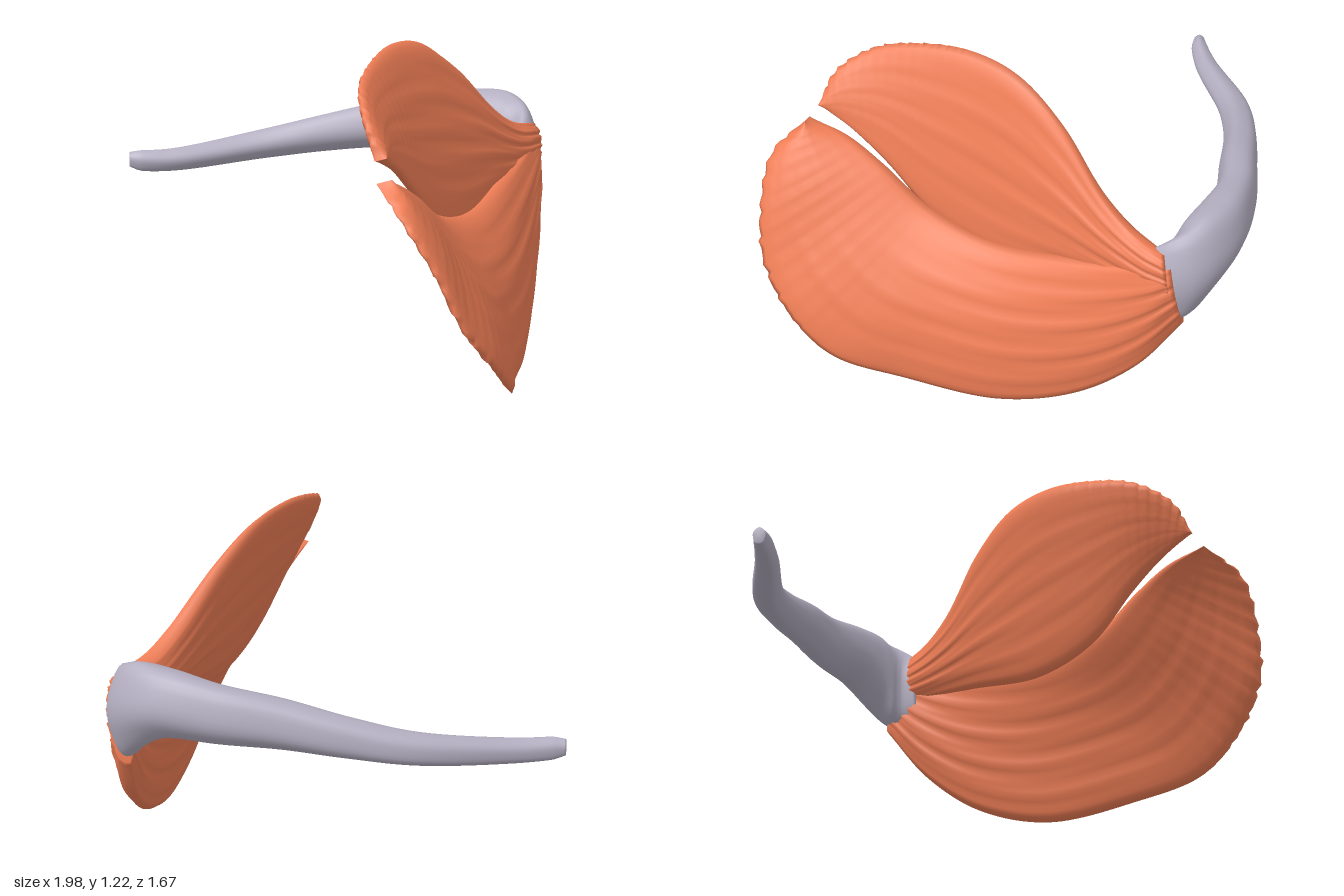
import * as THREE from 'three';

const V = (x, y, z) => new THREE.Vector3(x, y, z);
const curve = pts => new THREE.CatmullRomCurve3(pts.map(p => V(...p)), false, 'centripetal');

// Smooth closed skin over rings of equal point count, capped at both ends
function skin(rings) {
  const n = rings[0].length, pos = [], idx = [];
  rings.forEach(r => r.forEach(p => pos.push(p.x, p.y, p.z)));
  for (let i = 0; i < rings.length - 1; i++) {
    for (let j = 0; j < n; j++) {
      const a = i * n + j, b = i * n + (j + 1) % n, c = a + n, d = b + n;
      idx.push(a, b, c, b, d, c);
    }
  }
  for (const i of [0, rings.length - 1]) {
    const m = rings[i].reduce((s, p) => s.add(p), V(0, 0, 0)).divideScalar(n);
    const id = pos.length / 3;
    pos.push(m.x, m.y, m.z);
    for (let j = 0; j < n; j++) {
      const a = i * n + j, b = i * n + (j + 1) % n;
      if (i) idx.push(id, a, b); else idx.push(id, b, a);
    }
  }
  const g = new THREE.BufferGeometry();
  g.setAttribute('position', new THREE.Float32BufferAttribute(pos, 3));
  g.setIndex(idx);
  g.computeVertexNormals();
  return g;
}

// Fleshy lobe spanning a lower and an upper edge curve; bulge pushes its middle outward
function lobe(low, high, rim, bulge) {
  const out = V(1.2, 0.4, -0.5).normalize(), rings = [], N = 110, M = 30;
  const { smoothstep, lerp } = THREE.MathUtils;
  for (let i = 0; i <= N; i++) {
    const t = i / N, a = low.getPointAt(t), b = high.getPointAt(t), ring = [];
    // frayed front rim
    const fray = smoothstep(t, 0.55, 0.75) * (1 - smoothstep(t, 0.95, 1));
    (rim === 'low' ? a : b).z += (Math.sin(i * 1.9) + Math.sin(i * 3.1 + 1)) * 0.006 * fray;
    const half = lerp(0.068, 0.022, Math.pow(t, 0.75)) * lerp(0.75, 1, smoothstep(t, 0, 0.06));
    for (let j = 0; j < 2 * M; j++) {
      const side = j < M ? 1 : -1, v = j < M ? j / M : 2 - j / M;
      const round = Math.pow(Math.max(0, Math.sin(Math.PI * v)), 0.4);
      // fibre ridges running from root to rim
      const ridge = (1 - t) * (0.004 * Math.sin(v * 34 + t * 5) + 0.003 * Math.sin(v * 61 - t * 7));
      const belly = bulge * Math.sin(Math.PI * v) * smoothstep(t, 0, 0.4);
      ring.push(a.clone().lerp(b, v).addScaledVector(out, side * round * (half + ridge) + belly));
    }
    rings.push(ring);
  }
  return skin(rings);
}

// Tendon stations: [x, y, z, half height, half width]
function tendonGeometry() {
  const st = [
    [-0.99, 0.575, 0.015, 0.03, 0.022], [-0.95, 0.57, -0.01, 0.042, 0.032], [-0.85, 0.57, -0.1, 0.046, 0.042],
    [-0.6, 0.612, -0.365, 0.06, 0.058], [-0.4, 0.655, -0.5, 0.075, 0.062], [-0.2, 0.695, -0.6, 0.092, 0.07],
    [0, 0.72, -0.695, 0.108, 0.076], [0.2, 0.735, -0.74, 0.128, 0.096], [0.32, 0.7, -0.735, 0.165, 0.095],
    [0.39, 0.655, -0.71, 0.18, 0.085], [0.43, 0.635, -0.67, 0.17, 0.063], [0.455, 0.62, -0.6, 0.13, 0.04]];
  const path = curve(st), size = curve(st.map(s => [s[3], s[4], 0])), rings = [];
  const N = 90, M = 32;
  for (let i = 0; i <= N; i++) {
    const t = i / N, c = path.getPoint(t), s = size.getPoint(t), d = path.getTangent(t);
    d.y = 0;
    const side = d.normalize().cross(V(0, 1, 0)), ring = [];
    for (let j = 0; j < M; j++) {
      const w = j / M * Math.PI * 2;
      const r = 1 + 0.03 * Math.sin(w * 5 + t * 6);
      ring.push(c.clone().addScaledVector(side, Math.cos(w) * s.y * r).add(V(0, Math.sin(w) * s.x * r, 0)));
    }
    rings.push(ring.reverse());
  }
  return skin(rings);
}

export function createModel() {
  const group = new THREE.Group();
  const add = (name, geo, color) => {
    const mesh = new THREE.Mesh(geo, new THREE.MeshStandardMaterial({ color, side: THREE.DoubleSide }));
    mesh.name = name;
    group.add(mesh);
  };

  // Lower lobe: bottom edge sweeping round the front to its tip, and the seam above it
  const bottomEdge = curve([
    [0.41, 0.45, -0.73], [0.505, 0.25, -0.6], [0.6, 0.085, -0.4], [0.71, 0.0, -0.13], [0.84, 0.04, 0.2],
    [0.955, 0.12, 0.44], [0.98, 0.25, 0.6], [0.94, 0.42, 0.745], [0.865, 0.61, 0.8], [0.75, 0.78, 0.82], [0.61, 0.88, 0.75]]);
  const lowerSeam = curve([
    [0.46, 0.73, -0.7], [0.5, 0.635, -0.35], [0.545, 0.585, 0], [0.56, 0.64, 0.25], [0.57, 0.765, 0.45],
    [0.58, 0.84, 0.6], [0.61, 0.88, 0.75]]);

  // Upper lobe: tucked behind the lower one along the seam
  const upperSeam = curve([
    [0.45, 0.58, -0.7], [0.485, 0.56, -0.35], [0.525, 0.53, 0], [0.55, 0.61, 0.25], [0.56, 0.77, 0.44],
    [0.575, 0.87, 0.57], [0.59, 0.945, 0.71]]);
  const topEdge = curve([
    [0.455, 0.77, -0.67], [0.43, 0.8, -0.53], [0.41, 0.88, -0.4], [0.365, 1.07, -0.2], [0.34, 1.19, 0],
    [0.342, 1.222, 0.2], [0.375, 1.2, 0.4], [0.43, 1.15, 0.57], [0.52, 1.06, 0.68], [0.59, 0.945, 0.71]]);

  add('lowerMuscleLobe', lobe(bottomEdge, lowerSeam, 'low', 0.025), 0xee7d55);
  add('upperMuscleLobe', lobe(upperSeam, topEdge, 'high', 0.005), 0xee7d55);
  add('tendon', tendonGeometry(), 0xb5b0c2);
  return group;
}
